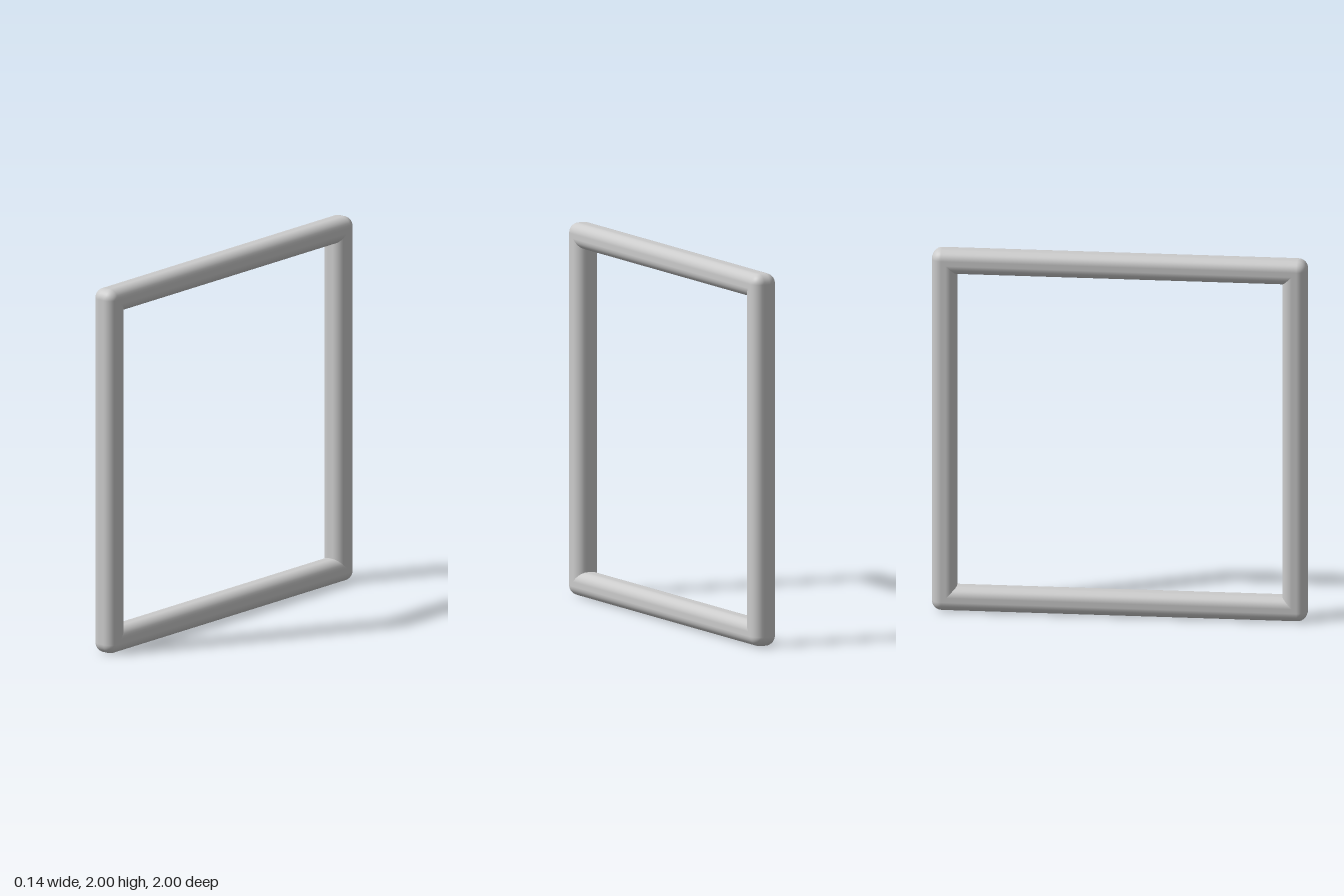
import * as THREE from 'three';
import { RoundedBoxGeometry } from 'three/addons/geometries/RoundedBoxGeometry.js';

const LENGTH = 2;      // outer side of the square frame
const DEPTH = 0.14;    // bar size along x
const THICK = 0.133;   // bar size in the plane of the frame
const RADIUS = 0.054;  // rounding of bar edges and ends

export function createModel() {
  const group = new THREE.Group();
  group.name = 'squareFrame';
  const material = new THREE.MeshStandardMaterial({ color: 0xcccccc });

  const addBar = (name, height, length, y, z) => {
    const bar = new THREE.Mesh(new RoundedBoxGeometry(DEPTH, height, length, 4, RADIUS), material);
    bar.name = name;
    bar.position.set(0, y, z);
    group.add(bar);
  };

  // Full-length bars overlap at the corners, sharing the same rounded ends
  const offset = (LENGTH - THICK) / 2;
  addBar('frontPost', LENGTH, THICK, LENGTH / 2, offset);
  addBar('backPost', LENGTH, THICK, LENGTH / 2, -offset);
  addBar('topRail', THICK, LENGTH, LENGTH - THICK / 2, 0);
  addBar('bottomRail', THICK, LENGTH, THICK / 2, 0);

  return group;
}
